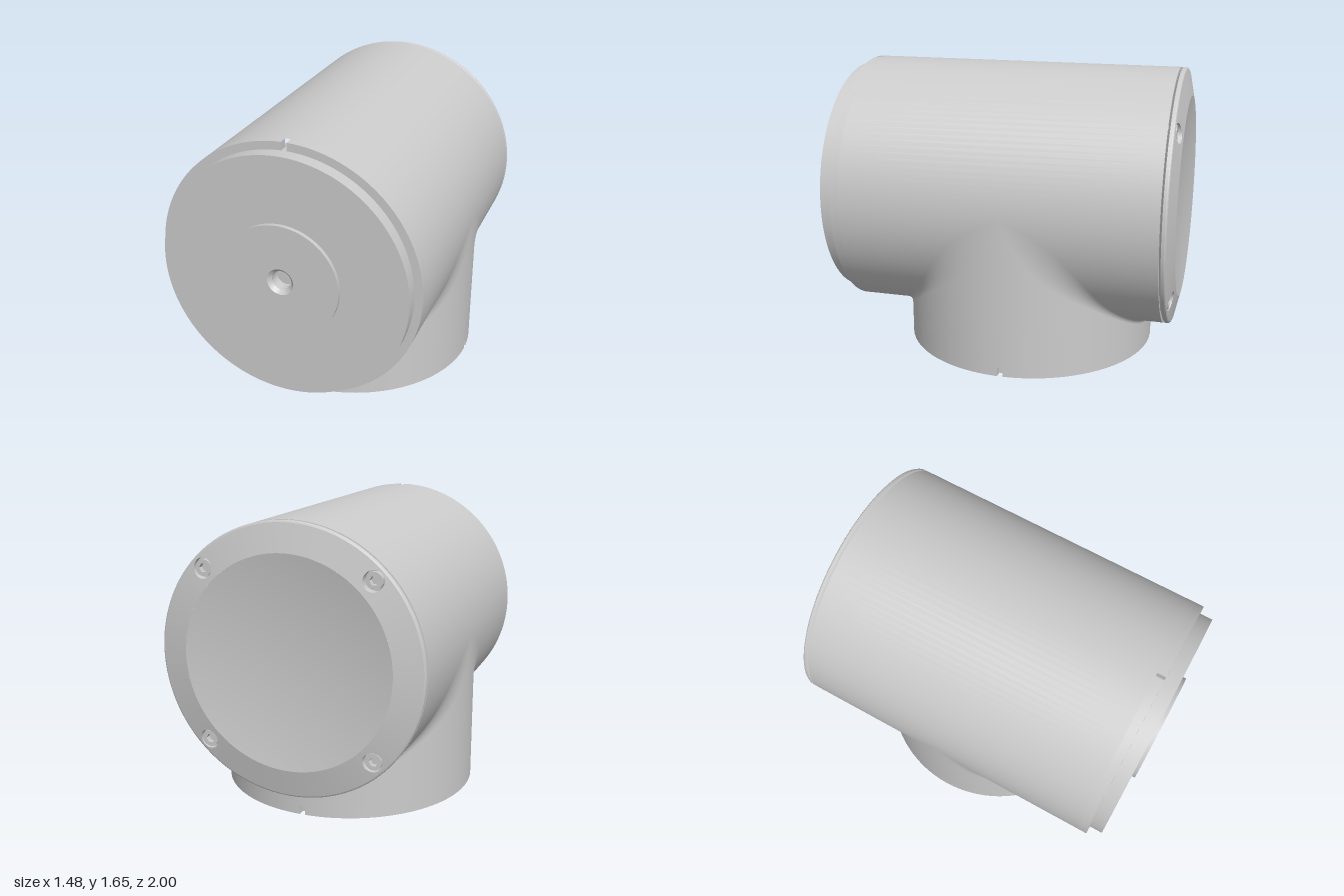
import * as THREE from 'three';
import { toCreasedNormals } from 'three/addons/utils/BufferGeometryUtils.js';

const R = 0.74;        // radius of both the barrel and the neck
const AXIS = 0.91;     // height of the barrel axis
const NECK_Z = -0.08;  // neck axis position
const SEG = 128;
const grey = new THREE.MeshStandardMaterial({ color: 0xcccccc });
const greyDouble = new THREE.MeshStandardMaterial({ color: 0xcccccc, side: THREE.DoubleSide });

function add(parent, name, geometry, material = grey) {
  const mesh = new THREE.Mesh(geometry, material);
  mesh.name = name;
  parent.add(mesh);
  return mesh;
}

// Turned part along +z; profile is a list of [radius, z]
function turned(profile, start = 0, length = Math.PI * 2) {
  const points = profile.map(([r, z]) => new THREE.Vector2(r, z));
  const segments = Math.ceil(SEG * length / (Math.PI * 2));
  const geometry = new THREE.LatheGeometry(points, segments, start, length);
  return toCreasedNormals(geometry.rotateX(Math.PI / 2), 0.45);
}

function arc(r, from, to, n, cx = 0, cy = 0) {
  return Array.from({ length: n + 1 }, (_, i) => {
    const a = from + (to - from) * i / n;
    return new THREE.Vector2(cx + r * Math.cos(a), cy + r * Math.sin(a));
  });
}

function sector(inner, outer, from, to, n) {
  return new THREE.Shape([...arc(outer, from, to, n), ...arc(inner, to, from, n)]);
}

// End band of a tube, split by two narrow slots at angles a and b
function slottedBand(a, b, depth) {
  const gap = 0.016 / R;
  const group = new THREE.Group();
  const end = b > a ? b : b + Math.PI * 2;
  for (const [from, to] of [[a, end], [end, a + Math.PI * 2]]) {
    const shape = sector(0.69, R, from + gap, to - gap, Math.ceil(SEG * (to - from) / (2 * Math.PI)));
    const geometry = new THREE.ExtrudeGeometry(shape, { depth, bevelEnabled: false });
    add(group, 'bandSection', toCreasedNormals(geometry, 0.45));
  }
  return group;
}

// Rolling fillet between barrel and neck, growing wider towards the sides
function blendQuadrant(sx, sz) {
  const nt = 40, nj = 12, pos = [], nor = [], index = [];
  for (let i = 0; i <= nt; i++) {
    const t = i / nt * Math.PI / 2, s = Math.sin(t), c = Math.cos(t);
    const rho = 0.03 + 1.1 * (1 - s) ** 3;
    for (let j = 0; j <= nj; j++) {
      const angle = Math.acos(c * c) || 1e-6, k = j / nj;
      const w1 = Math.sin((1 - k) * angle) / Math.sin(angle);
      const w2 = Math.sin(k * angle) / Math.sin(angle);
      const n = new THREE.Vector3(c * (w1 + w2), -s * w1, s * w2).normalize();
      const p = new THREE.Vector3(c, -s, s).multiplyScalar(R + rho).addScaledVector(n, -rho);
      pos.push(sx * p.x, AXIS + p.y, NECK_Z + sz * p.z);
      nor.push(sx * n.x, n.y, sz * n.z);
      if (i < nt && j < nj) {
        const a = i * (nj + 1) + j, b = a + nj + 1;
        if (sx * sz > 0) index.push(a, b, a + 1, b, b + 1, a + 1);
        else index.push(a, a + 1, b, b, a + 1, b + 1);
      }
    }
  }
  const geometry = new THREE.BufferGeometry();
  geometry.setAttribute('position', new THREE.Float32BufferAttribute(pos, 3));
  geometry.setAttribute('normal', new THREE.Float32BufferAttribute(nor, 3));
  geometry.setIndex(index);
  return geometry;
}

// Sloping face of the rear cap
const RIM = 0.73, LIP = 0.58;
const slopeZ = r => 0.967 + 0.033 * (RIM - r) / (RIM - LIP);

function rearCap() {
  const cap = new THREE.Group();
  cap.name = 'rearCap';
  add(cap, 'capRim', turned([[0.70, 0.925], [0.73, 0.935], [R, 0.942], [R, 0.957], [0.737, 0.963], [RIM, 0.967]]));

  // Shallow concave dish
  const dish = [];
  for (let i = 0; i <= 16; i++) {
    const k = 1 - i / 16;
    dish.push([LIP * k, 0.95 + 0.05 * k * k]);
  }
  add(cap, 'dish', turned(dish));

  const half = Math.PI / 22.5, holeR = 0.055, screwR = 0.665;
  for (let q = 0; q < 4; q++) {
    const a = Math.PI / 4 + q * Math.PI / 2;
    const cx = screwR * Math.cos(a), cy = screwR * Math.sin(a);

    // Plain slope between screws
    add(cap, 'capSlope', turned([[RIM, slopeZ(RIM)], [LIP, slopeZ(LIP)]], a + half, Math.PI / 2 - 2 * half));

    // Slope patch with a screw hole
    const shape = sector(LIP, RIM, a - half, a + half, 8);
    shape.holes.push(new THREE.Path(arc(holeR, 0, -Math.PI * 2, 32, cx, cy)));
    const patch = new THREE.ShapeGeometry(shape);
    const p = patch.attributes.position, n = patch.attributes.normal;
    const tilt = 0.033 / (RIM - LIP), len = Math.hypot(1, tilt);
    for (let i = 0; i < p.count; i++) {
      const x = p.getX(i), y = p.getY(i), r = Math.hypot(x, y);
      p.setZ(i, slopeZ(r));
      n.setXYZ(i, tilt * x / r / len, tilt * y / r / len, 1 / len);
    }
    add(cap, 'screwSlope', patch);

    // Hole wall trimmed to the slope
    const wall = new THREE.CylinderGeometry(holeR, holeR, 0.06, 32, 1, true).rotateX(Math.PI / 2);
    wall.translate(cx, cy, 0.96);
    const w = wall.attributes.position;
    for (let i = 0; i < w.count; i++) {
      if (w.getZ(i) > 0.96) w.setZ(i, slopeZ(Math.hypot(w.getX(i), w.getY(i))));
    }
    add(cap, 'screwHole', wall, greyDouble);
    add(cap, 'holeFloor', new THREE.CircleGeometry(holeR, 32).translate(cx, cy, 0.94));

    // Screw head with a hexagonal socket
    const head = new THREE.Shape(arc(0.045, 0, Math.PI * 2, 32));
    head.holes.push(new THREE.Path(arc(0.025, 0, -Math.PI * 2, 6)));
    const screw = new THREE.ExtrudeGeometry(head, { depth: 0.03, bevelEnabled: false });
    add(cap, 'screwHead', toCreasedNormals(screw, 0.45)).position.set(cx, cy, 0.942);
  }
  return cap;
}

export function createModel() {
  const model = new THREE.Group();
  model.name = 'pipeTeeHousing';

  // Horizontal barrel
  const barrel = new THREE.Group();
  barrel.name = 'barrel';
  barrel.position.y = AXIS;
  model.add(barrel);
  add(barrel, 'barrelShell', turned([[0.69, -0.93], [R, -0.93], [R, 0.85]]));
  const frontBand = slottedBand(Math.PI / 2, -Math.PI / 2, 0.05);
  frontBand.name = 'frontBand';
  frontBand.position.z = 0.85;
  barrel.add(frontBand);

  // Front plate with a central boss and countersunk hole
  add(barrel, 'frontPlate', turned([[0.695, 0.8], [0.695, 0.977], [0.325, 0.977], [0.325, 1],
    [0.075, 1], [0.055, 0.98], [0.055, 0.92], [0, 0.92]]));

  const cap = rearCap();
  cap.rotation.y = Math.PI;
  barrel.add(cap);

  // Vertical neck, turned along z and pointed downwards
  const neck = new THREE.Group();
  neck.name = 'neck';
  neck.rotation.x = Math.PI / 2;
  neck.position.z = NECK_Z;
  model.add(neck);
  add(neck, 'neckShell', turned([[R, -AXIS], [R, -0.05]]));
  add(neck, 'neckBase', turned([[0.70, -0.08], [0.70, -0.001], [0, -0.001]]));
  const baseBand = slottedBand(-Math.PI / 2, 0, 0.05);
  baseBand.name = 'baseBand';
  baseBand.position.z = -0.05;
  neck.add(baseBand);

  // Smooth transition from barrel to neck
  for (const sx of [-1, 1]) {
    for (const sz of [-1, 1]) add(model, 'neckBlend', blendQuadrant(sx, sz));
  }
  return model;
}
